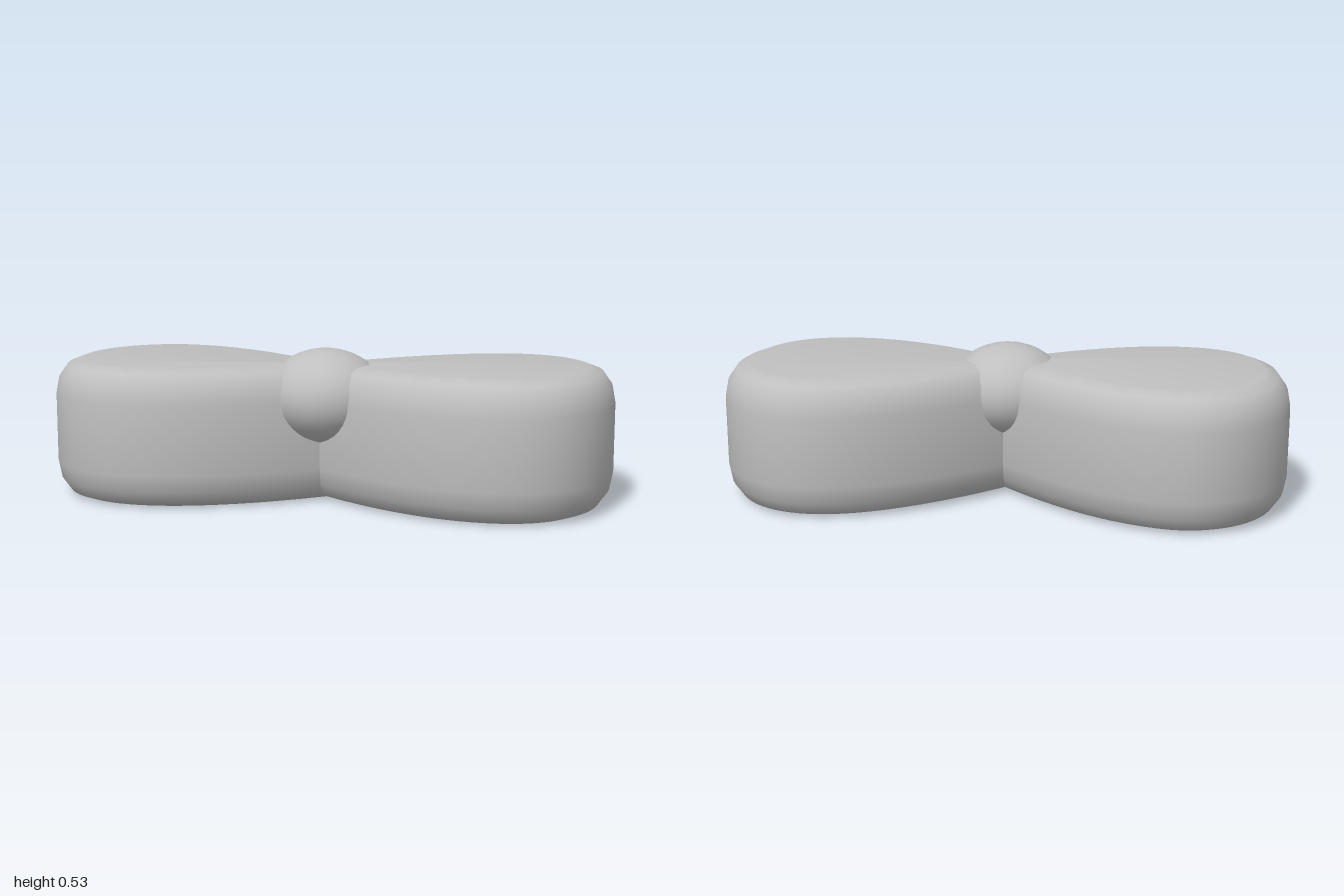
import * as THREE from 'three';
import { toCreasedNormals } from 'three/addons/utils/BufferGeometryUtils.js';

const HEIGHT = 0.48;
const BEVEL_HEIGHT = 0.12;
const BEVEL_SIZE = 0.085;

// Teardrop outline of one bow loop; side is +1 (left) or -1 (right).
function loopShape(side) {
  const tip = [-0.12, 0.07];
  const shape = new THREE.Shape();
  const curve = (...p) =>
    shape.bezierCurveTo(side * p[0], -p[1], side * p[2], -p[3], side * p[4], -p[5]);
  shape.moveTo(side * tip[0], -tip[1]);
  curve(0.15, -0.24, 0.42, -0.425, 0.64, -0.425); // back edge
  curve(0.84, -0.425, 1, -0.24, 1, -0.02);        // outer back
  curve(1, 0.25, 0.85, 0.42, 0.6, 0.42);          // outer front
  curve(0.36, 0.42, 0.1, 0.26, ...tip);           // front edge
  return shape;
}

// Thick loop with rounded upper and lower rims, laid flat on the ground.
function loopGeometry(side) {
  const geometry = new THREE.ExtrudeGeometry(loopShape(side), {
    depth: HEIGHT - 2 * BEVEL_HEIGHT,
    curveSegments: 14,
    bevelThickness: BEVEL_HEIGHT,
    bevelSize: BEVEL_SIZE,
    bevelOffset: -BEVEL_SIZE,
    bevelSegments: 3,
  });
  geometry.rotateX(-Math.PI / 2);
  geometry.translate(0, BEVEL_HEIGHT, 0);
  return toCreasedNormals(geometry, 0.75);
}

export function createModel() {
  const model = new THREE.Group();
  model.name = 'bow';
  const grey = new THREE.MeshStandardMaterial({ color: 0xbfbfbf });
  grey.name = 'grey';

  // Mirrored pair of loops meeting in the middle
  for (const [name, side] of [['leftLoop', 1], ['rightLoop', -1]]) {
    const loop = new THREE.Mesh(loopGeometry(side), grey);
    loop.name = name;
    model.add(loop);
  }

  // Flattened ball for the knot, set a little forward
  const knot = new THREE.Mesh(new THREE.SphereGeometry(0.21, 32, 20), grey);
  knot.name = 'knot';
  knot.scale.y = 0.8;
  knot.position.set(0, 0.366, 0.075);
  model.add(knot);

  return model;
}
